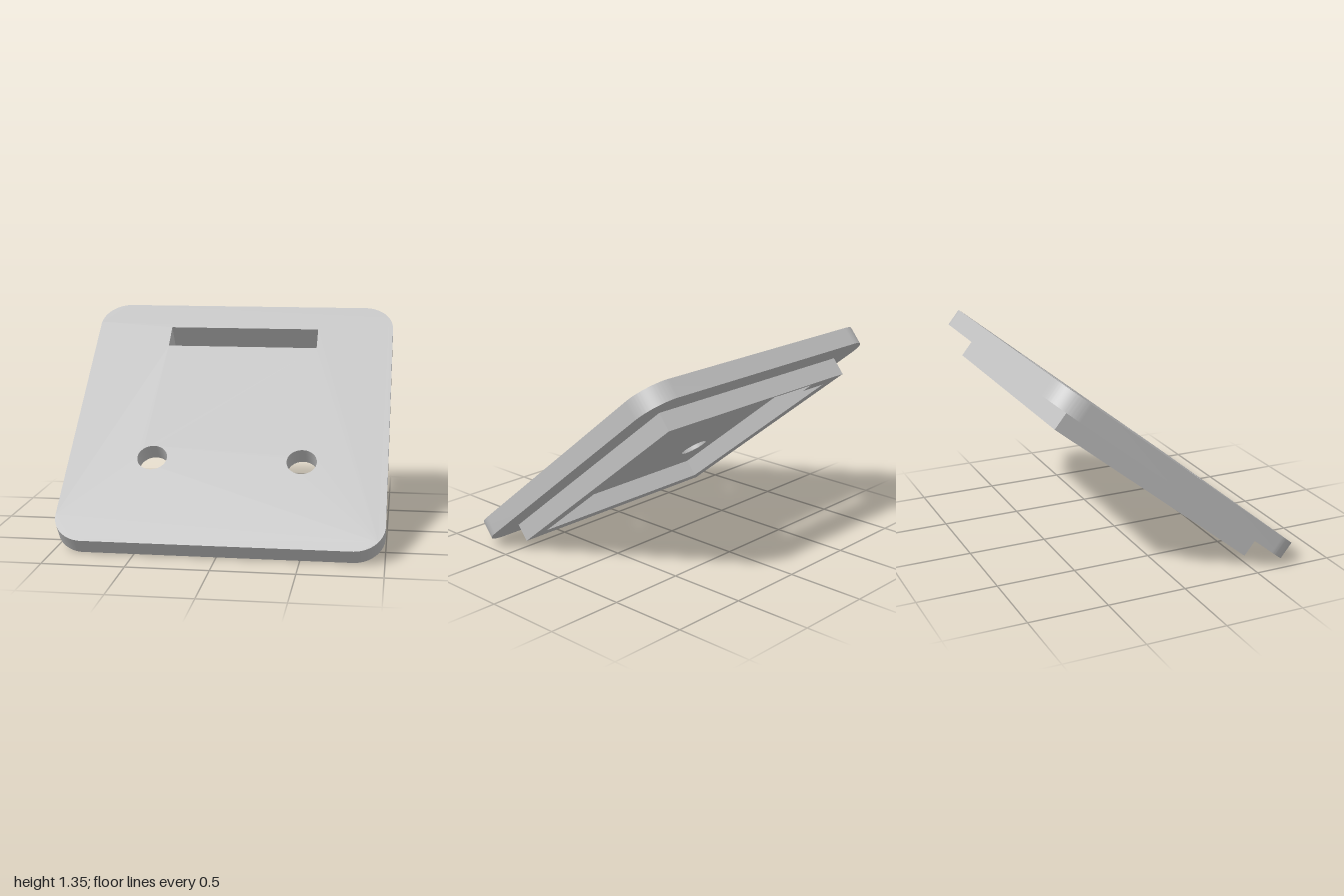
import * as THREE from 'three';
import { toCreasedNormals } from 'three/addons/utils/BufferGeometryUtils.js';

const T = 0.117;        // thickness of the plate and of the frame
const TILT = 0.6825;    // slope of the plate, in radians
const OUTER = 0.81;     // half size of the frame
const INNER = 0.707;
const SLOT = { x: 0.5, low: 0.617, high: 0.79 };

const points = (list) => list.map(([x, y]) => new THREE.Vector2(x, y));

function roundedSquare(half, r) {
  const s = new THREE.Shape();
  const c = half - r;
  [[c, c], [-c, c], [-c, -c], [c, -c]].forEach(([x, y], i) =>
    s.absarc(x, y, r, i * Math.PI / 2, (i + 1) * Math.PI / 2, false));
  s.closePath();
  return s;
}

function slab(name, shape, z, material) {
  const geometry = new THREE.ExtrudeGeometry(shape, { depth: T, bevelEnabled: false, curveSegments: 20 });
  const mesh = new THREE.Mesh(toCreasedNormals(geometry, 0.5), material);
  mesh.name = name;
  mesh.position.z = z;
  return mesh;
}

export function createModel() {
  const grey = new THREE.MeshStandardMaterial({ color: 0xc0c0c0 });
  grey.name = 'grey';

  // Face plate with rounded corners, a slot and two round holes
  const plate = roundedSquare(1, 0.19);
  const { x, low, high } = SLOT;
  plate.holes.push(new THREE.Path(points([[-x, low], [-x, high], [x, high], [x, low]])));
  for (const side of [-1, 1]) {
    plate.holes.push(new THREE.Path().absarc(side * 0.47, -0.35, 0.094, 0, Math.PI * 2, true));
  }

  // Square frame under the plate, notched where the slot passes
  const o = OUTER, n = INNER;
  const frame = new THREE.Shape(points([[-o, -o], [o, -o], [o, o], [-o, o]]));
  frame.holes.push(new THREE.Path(points([
    [-n, -n], [-n, n], [-x, n], [-x, high], [x, high], [x, n], [n, n], [n, -n],
  ])));

  // Tilted assembly, low at the front
  const cover = new THREE.Group();
  cover.name = 'tiltedCover';
  cover.add(slab('facePlate', plate, -T / 2, grey), slab('backFrame', frame, -1.5 * T, grey));
  cover.rotation.x = TILT - Math.PI / 2;
  cover.position.y = Math.sin(TILT) + Math.cos(TILT) * T / 2;

  const model = new THREE.Group();
  model.name = 'slottedCover';
  model.add(cover);
  return model;
}
